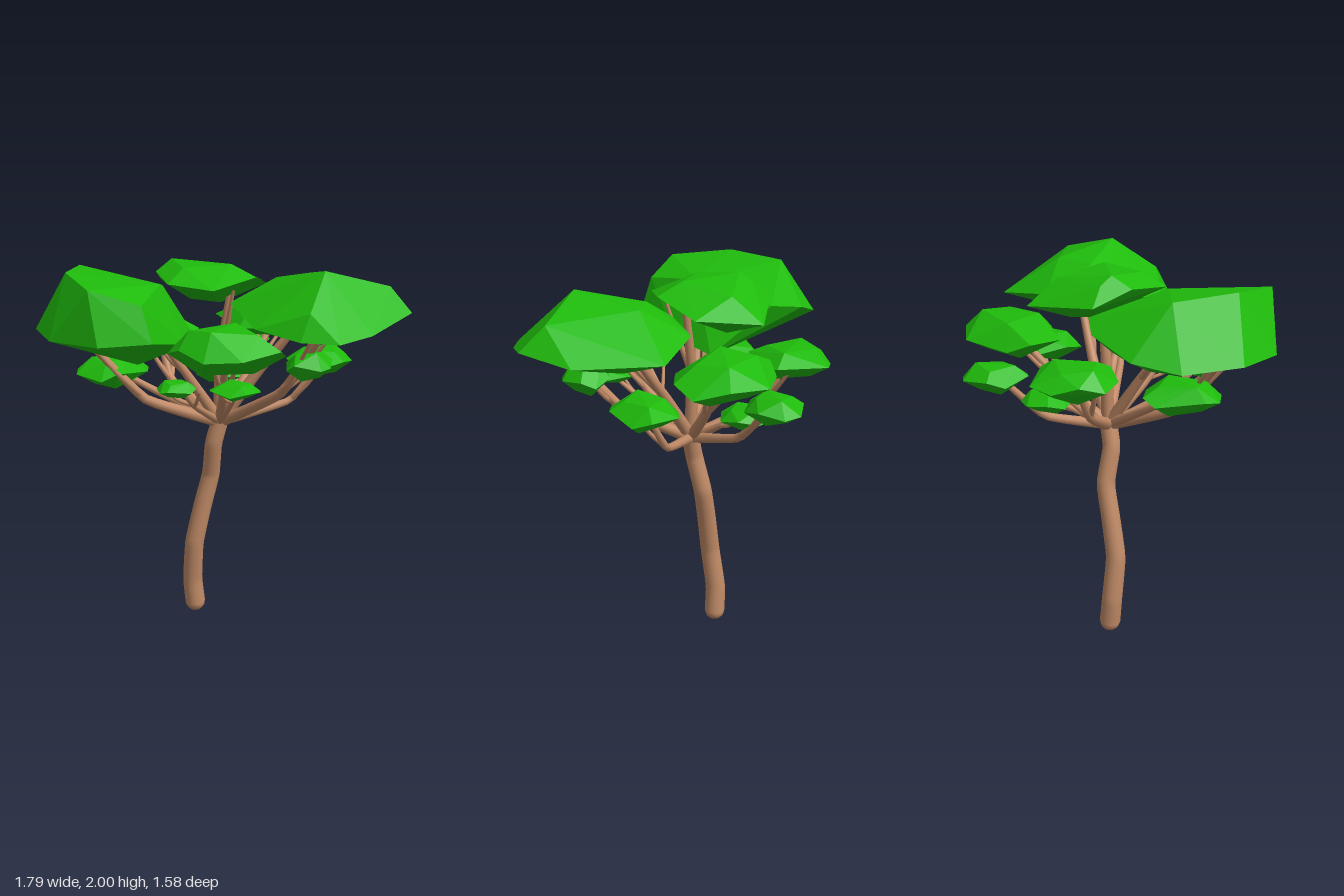
import * as THREE from 'three';
import { ConvexGeometry } from 'three/addons/geometries/ConvexGeometry.js';

const bark = new THREE.MeshStandardMaterial({ color: 0xc08a66 });
const leaf = new THREE.MeshStandardMaterial({ color: 0x1fbb0c, flatShading: true });
const V = (p) => new THREE.Vector3(...p);

// Round tube along nearly straight stretches, thinning from r0 to r1
function taperedTube(name, pts, r0, r1, segments = 14, sides = 10) {
  const curve = new THREE.CatmullRomCurve3(pts.map(V), false, 'catmullrom', 0.2);
  const geo = new THREE.TubeGeometry(curve, segments, 1, sides);
  const pos = geo.attributes.position, v = new THREE.Vector3();
  for (let i = 0; i <= segments; i++) {
    const t = i / segments, c = curve.getPointAt(t), r = r0 + (r1 - r0) * t;
    for (let j = 0; j <= sides; j++) {
      const k = i * (sides + 1) + j;
      v.fromBufferAttribute(pos, k).sub(c).multiplyScalar(r).add(c);
      pos.setXYZ(k, v.x, v.y, v.z);
    }
  }
  const mesh = new THREE.Mesh(geo, bark);
  mesh.name = name;
  return mesh;
}

function clump(name, points) {
  const mesh = new THREE.Mesh(new ConvexGeometry(points.map(V)), leaf);
  mesh.name = name;
  return mesh;
}

// Faceted cushion from a plan outline [x, z], with smaller rings above and below
function cushion(rim, y0, y1, yRim) {
  const n = rim.length;
  const cx = rim.reduce((s, p) => s + p[0], 0) / n, cz = rim.reduce((s, p) => s + p[1], 0) / n;
  const pts = [];
  rim.forEach(([x, z], i) => {
    const at = (k, y) => pts.push([cx + (x - cx) * k, y, cz + (z - cz) * k]);
    at(1, yRim + (y1 - y0) * 0.12 * Math.sin(i * 2.4));
    if (i % 2) at(0.6, y1 - (y1 - y0) * 0.06 * (1 + Math.cos(i * 1.9)));
    else at(0.5, y0 + (y1 - y0) * 0.06 * (1 + Math.cos(i * 1.7)));
  });
  return pts;
}

// Small clump: uneven oval outline
function smallClump([cx, cy, cz], [sx, sy, sz], seed) {
  const rim = [];
  for (let i = 0; i < 8; i++) {
    const a = (i + 0.25 * Math.sin(seed + i * 3)) / 8 * Math.PI * 2 + seed;
    rim.push([cx + Math.cos(a) * sx / 2, cz + Math.sin(a) * sz / 2]);
  }
  return cushion(rim, cy - sy / 2, cy + sy / 2, cy);
}

export function createModel() {
  const tree = new THREE.Group();
  tree.name = 'tree';

  // Trunk with rounded foot
  tree.add(taperedTube('trunk', [[-0.24, 0.055, -0.02], [-0.248, 0.2, -0.008], [-0.22, 0.43, 0.01],
    [-0.183, 0.65, -0.02], [-0.147, 0.83, -0.048], [-0.108, 1.02, -0.02], [-0.075, 1.16, -0.04]],
  0.056, 0.046, 28, 16));
  const foot = new THREE.Mesh(new THREE.SphereGeometry(0.055, 16, 10), bark);
  foot.name = 'trunkFoot';
  foot.position.set(-0.24, 0.055, -0.02);
  tree.add(foot);

  // Limbs: radius, elbow, tip
  const hub = [-0.08, 1.14, -0.04];
  const limbs = [
    [0.034, [-0.17, 1.42, 0.13], [-0.24, 1.62, 0.26]],
    [0.034, [-0.3, 1.31, 0.32], [-0.5, 1.65, 0.55]],
    [0.036, [0.1, 1.42, -0.13], [0.32, 1.72, -0.22]],
    [0.034, [0.3, 1.35, -0.04], [0.58, 1.7, 0.03]],
    [0.038, [-0.08, 1.5, -0.05], [-0.03, 1.88, -0.08]],
    [0.032, [-0.07, 1.34, -0.26], [-0.05, 1.62, -0.52]],
    [0.03, [-0.22, 1.23, -0.35], [-0.3, 1.45, -0.56]],
    [0.034, [-0.45, 1.31, -0.1], [-0.57, 1.54, -0.16]],
    [0.022, [-0.18, 1.24, -0.18], [-0.27, 1.34, -0.32]],
    [0.032, [0.08, 1.35, 0.16], [0.22, 1.62, 0.34]],
    [0.028, [-0.34, 1.33, 0.2], [-0.46, 1.44, 0.33]],
    [0.03, [0.31, 1.36, 0.0], [0.47, 1.53, -0.02]],
    [0.028, [0.17, 1.23, -0.35], [0.3, 1.45, -0.43]],
    [0.022, [-0.03, 1.3, 0.26], [0.0, 1.43, 0.42]],
    [0.02, [0.13, 1.32, 0.15], [0.25, 1.43, 0.28]],
  ];
  const branches = new THREE.Group();
  branches.name = 'branches';
  tree.add(branches);
  limbs.forEach(([r, elbow, tip], i) => {
    branches.add(taperedTube('limb', [hub, elbow, tip], r, r * 0.5));
    // Twigs fork from the elbow beside the tip
    const a = Math.atan2(tip[2] - hub[2], tip[0] - hub[0]);
    for (const s of i % 2 ? [-1, 1] : [1]) {
      const d = s * (0.09 + 0.02 * Math.sin(i * 2));
      const end = [tip[0] - Math.sin(a) * d, tip[1] - 0.01, tip[2] + Math.cos(a) * d];
      const mid = elbow.map((e, k) => (e + end[k]) / 2 + (k === 1 ? -0.015 : 0));
      branches.add(taperedTube('twig', [elbow, mid, end], r * 0.5, 0.008, 8, 8));
    }
  });

  // Three large crown clumps
  const foliage = new THREE.Group();
  foliage.name = 'foliage';
  tree.add(foliage);
  foliage.add(clump('frontRightCrown', [
    [-0.9, 1.68, 0.35], [-0.86, 1.72, 0.12], [-0.69, 1.8, -0.07], [-0.5, 1.83, -0.1], [-0.23, 1.91, 0.27],
    [-0.09, 1.86, 0.6], [-0.03, 1.68, 0.6], [-0.22, 1.67, 0.78], [-0.52, 1.67, 0.79], [-0.76, 1.68, 0.63],
    [-0.28, 1.94, 0.77], [-0.74, 1.97, 0.3], [-0.57, 1.98, 0.6], [-0.7, 1.63, 0.4], [-0.2, 1.54, 0.5],
    [-0.6, 1.6, 0.2], [-0.1, 1.61, 0.25], [-0.2, 1.57, -0.01]]));
  foliage.add(clump('backLeftCrown', [
    [0.28, 1.75, -0.63], [0.7, 1.75, -0.54], [0.89, 1.79, -0.32], [0.84, 1.72, 0], [0.77, 1.7, 0.19],
    [0.59, 1.7, 0.25], [0.31, 1.73, 0.22], [0.01, 1.8, 0], [0.05, 1.8, -0.37], [0.54, 2, -0.06],
    [0.6, 1.83, 0.18], [0.76, 1.91, -0.33], [0.2, 1.93, -0.15], [0.3, 1.94, -0.33], [0.35, 1.64, -0.1],
    [0.6, 1.64, -0.2], [0.4, 1.65, -0.37]]));
  foliage.add(clump('topCrown', [
    [-0.31, 1.83, -0.42], [0.02, 1.86, -0.34], [0.12, 1.93, -0.08], [0.05, 1.89, 0.2], [-0.19, 1.91, 0.26],
    [-0.39, 1.94, 0.1], [-0.5, 1.87, -0.08], [-0.41, 1.96, -0.05], [-0.36, 2, 0], [-0.02, 1.99, -0.06],
    [-0.18, 1.98, 0.14], [-0.2, 1.95, -0.28], [-0.04, 1.82, 0.05], [-0.2, 1.75, -0.22], [-0.3, 1.78, -0.08]]));

  // Medium clumps
  foliage.add(clump('backClump', cushion([[-0.2, -0.75], [0.02, -0.79], [0.18, -0.72], [0.22, -0.58],
    [0.13, -0.36], [-0.12, -0.28], [-0.36, -0.4], [-0.34, -0.52]], 1.53, 1.74, 1.62)));
  foliage.add(clump('frontClump', cushion([[-0.07, 0.35], [0.17, 0.1], [0.48, 0.2], [0.53, 0.32],
    [0.44, 0.52], [0.28, 0.61], [0.12, 0.59], [-0.03, 0.48]], 1.53, 1.76, 1.64)));
  foliage.add(clump('rightClump', cushion([[-0.71, -0.36], [-0.43, -0.34], [-0.38, -0.2], [-0.42, 0.0],
    [-0.6, 0.05], [-0.76, 0.0], [-0.79, -0.12], [-0.78, -0.25]], 1.46, 1.63, 1.55)));

  // Small lower clumps: centre, size, seed
  [
    [[-0.3, 1.46, -0.59], [0.3, 0.14, 0.34], 1],
    [[-0.27, 1.335, -0.33], [0.29, 0.11, 0.28], 7],
    [[-0.49, 1.445, 0.35], [0.33, 0.16, 0.44], 2],
    [[0.48, 1.53, -0.02], [0.25, 0.15, 0.28], 3],
    [[0.31, 1.46, -0.42], [0.34, 0.15, 0.42], 4],
    [[0.0, 1.435, 0.45], [0.2, 0.08, 0.24], 5],
    [[0.25, 1.43, 0.3], [0.26, 0.08, 0.26], 6],
  ].forEach((spec) => foliage.add(clump('lowerClump', smallClump(...spec))));

  return tree;
}
